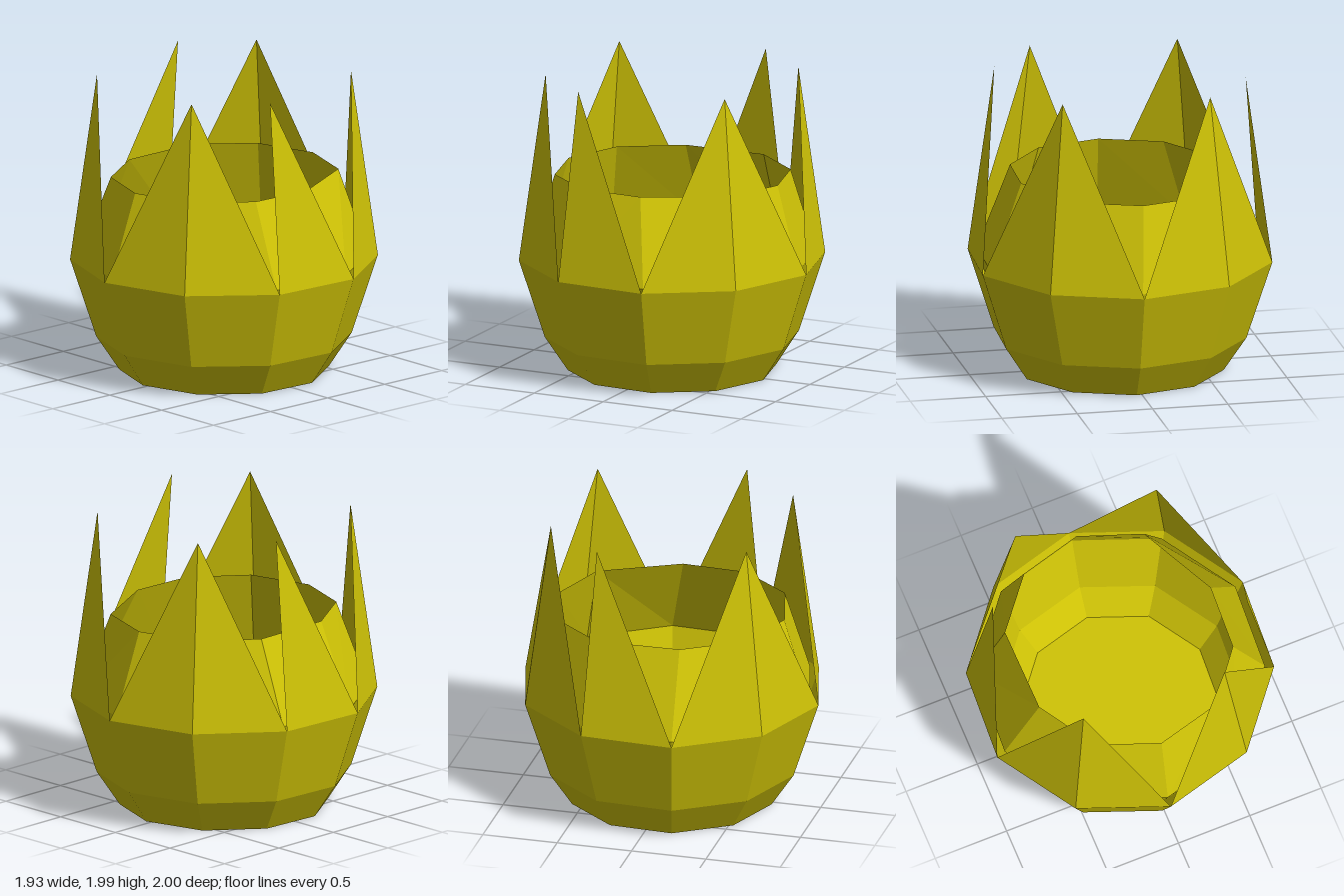
import * as THREE from 'three';

const SIDES = 10;
const material = new THREE.MeshStandardMaterial({ color: 0xd0c406, flatShading: true, side: THREE.DoubleSide });

// Corner i of a ten-sided ring
function corner(i, radius, y) {
  const a = THREE.MathUtils.degToRad(15 + 36 * i);
  return [radius * Math.cos(a), y, -radius * Math.sin(a)];
}

function ring(radius, y) {
  return Array.from({ length: SIDES }, (_, i) => corner(i, radius, y));
}

function meshFrom(name, triangles) {
  const geometry = new THREE.BufferGeometry();
  geometry.setAttribute('position', new THREE.Float32BufferAttribute(triangles.flat(2), 3));
  geometry.computeVertexNormals();
  const mesh = new THREE.Mesh(geometry, material);
  mesh.name = name;
  return mesh;
}

// Flat-bottomed shell: closes the first ring, then joins successive rings
function shell(rings) {
  const triangles = [];
  for (let i = 0; i < SIDES; i++) {
    const j = (i + 1) % SIDES;
    triangles.push([rings[0][j], rings[0][i], [0, rings[0][0][1], 0]]);
    for (let k = 0; k < rings.length - 1; k++) {
      const a = rings[k], b = rings[k + 1];
      triangles.push([a[i], a[j], b[j]], [a[i], b[j], b[i]]);
    }
  }
  return triangles;
}

export function createModel() {
  const group = new THREE.Group();
  group.name = 'petalCup';

  // Outer bowl
  group.add(meshFrom('outerBowl', shell([ring(0.68, 0), ring(0.83, 0.225), ring(1, 0.745)])));

  // Pointed petals: each side of the bowl rises to the tip above one of its corners
  const tipCorner = [1, 1, 3, 3, 4, 6, 6, 8, 8, 9];
  group.add(meshFrom('petals', tipCorner.map((t, i) => [
    corner(i, 1, 0.745), corner(i + 1, 1, 0.745), corner(t, 0.825, 1.99),
  ])));

  // Nested inner bowl that narrows again to a slightly uneven open rim
  const rim = [
    [0.68, -0.11], [0.42, -0.62], [0.01, -0.77], [-0.4, -0.66], [-0.67, -0.33],
    [-0.66, 0.23], [-0.42, 0.61], [-0.02, 0.76], [0.4, 0.65], [0.66, 0.32],
  ].map(([x, z]) => [x, 1.31, z]);
  group.add(meshFrom('innerBowl', shell([ring(0.65, 0.05), ring(0.79, 0.26), ring(0.94, 0.76), rim])));

  return group;
}
